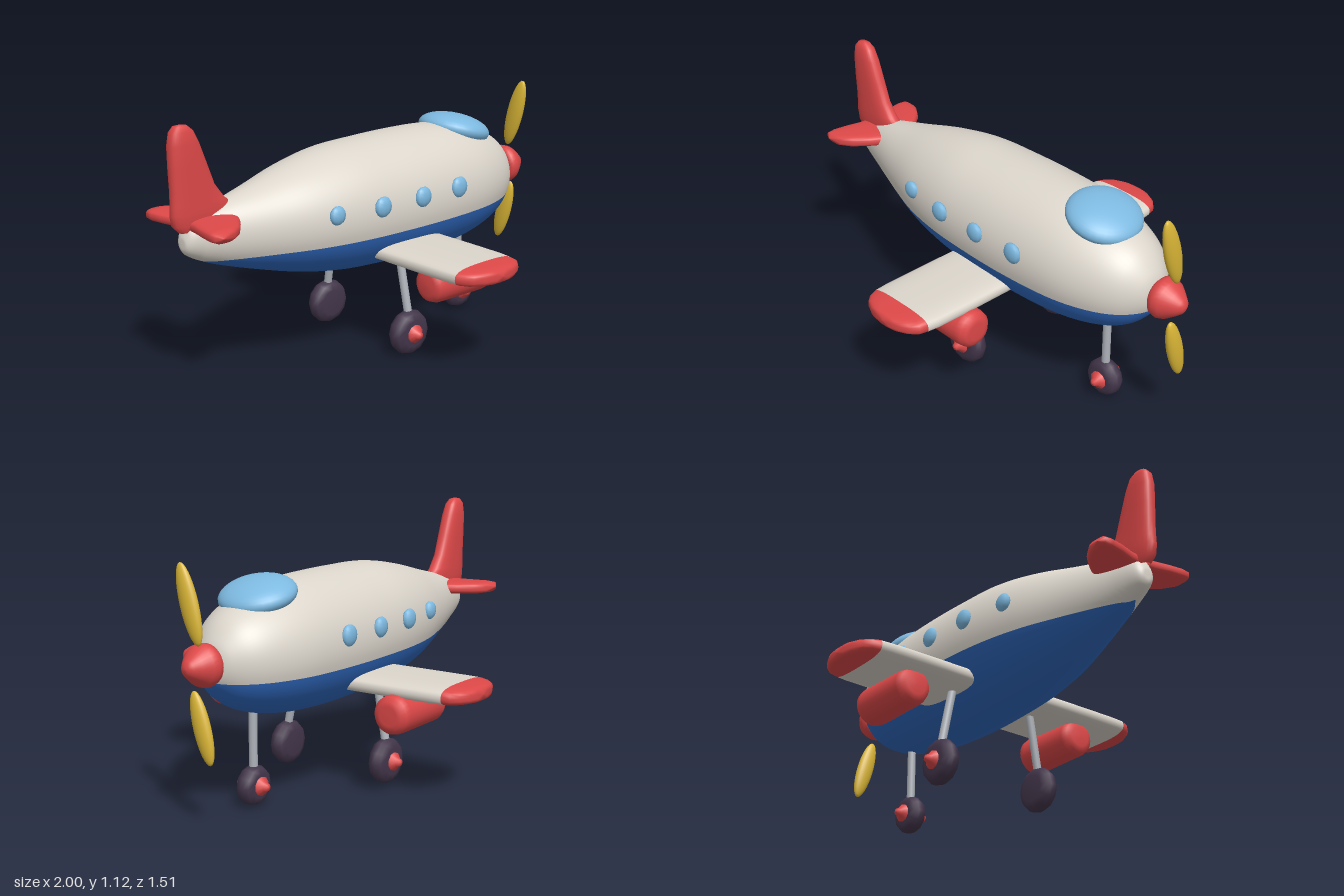
import * as THREE from 'three';

const material = (name, color) => Object.assign(new THREE.MeshStandardMaterial({ color }), { name });

// Skin a list of point rings; faces are turned to point away from the middle
function loft(rings, closed = true) {
  const n = rings[0].length, pos = [], idx = [];
  rings.forEach(r => r.forEach(p => pos.push(...p)));
  for (let i = 0; i < rings.length - 1; i++) {
    for (let j = 0; j < (closed ? n : n - 1); j++) {
      const a = i * n + j, b = i * n + (j + 1) % n;
      idx.push(a, b, a + n, b, b + n, a + n);
    }
  }
  const pts = rings.flat().map(p => new THREE.Vector3(...p));
  const mid = pts.reduce((s, p) => s.add(p), new THREE.Vector3()).divideScalar(pts.length);
  pts.forEach(p => p.sub(mid));
  let volume = 0;
  for (let k = 0; k < idx.length; k += 3) {
    volume += pts[idx[k]].dot(pts[idx[k + 1]].clone().cross(pts[idx[k + 2]]));
  }
  if (volume < 0) idx.reverse();
  const g = new THREE.BufferGeometry();
  g.setAttribute('position', new THREE.Float32BufferAttribute(pos, 3));
  g.setIndex(idx);
  g.computeVertexNormals();
  return g;
}

// Rounded-box outline as [a, b] pairs
function outline(ha, hb, power = 3, n = 32) {
  return Array.from({ length: n }, (_, i) => {
    const t = i / n * Math.PI * 2, c = Math.cos(t), s = Math.sin(t), e = 2 / power;
    return [ha * Math.sign(c) * Math.abs(c) ** e, hb * Math.sign(s) * Math.abs(s) ** e];
  });
}

// Flat surface along z: stations are [z, xMin, xMax, half thickness]
const panel = (stations, y, side) => loft(stations.map(([z, x0, x1, h]) =>
  outline((x1 - x0) / 2, h).map(([a, b]) => [(x0 + x1) / 2 + a, y + b, z * side])));

const lathe = (pts, segments = 28) =>
  new THREE.LatheGeometry(pts.map(p => new THREE.Vector2(...p)), segments);

export function createModel() {
  const model = new THREE.Group();
  const cream = material('cream paint', 0xdcd6cc);
  const blue = material('blue paint', 0x2f68bd);
  const red = material('red paint', 0xdd4848);
  const glass = material('sky blue glass', 0x7db9e0);
  const yellow = material('yellow paint', 0xd9b536);
  const metal = material('grey metal', 0xaeb3ba);
  const rubber = material('dark rubber', 0x43364b);

  const add = (name, geometry, mat, x = 0, y = 0, z = 0) => {
    const m = new THREE.Mesh(geometry, mat);
    m.name = name;
    m.position.set(x, y, z);
    model.add(m);
    return m;
  };
  const ellipsoid = (name, mat, c, r, w = 24, h = 16) =>
    add(name, new THREE.SphereGeometry(1, w, h).scale(...r), mat, ...c);

  // Fuselage stations: x, bottom, top, half width
  const body = [
    [-0.95, 0.645, 0.645, 0], [-0.945, 0.61, 0.68, 0.03], [-0.91, 0.58, 0.73, 0.055],
    [-0.8, 0.53, 0.77, 0.09], [-0.6, 0.465, 0.82, 0.16], [-0.4, 0.41, 0.872, 0.225],
    [-0.2, 0.373, 0.907, 0.262], [0, 0.357, 0.914, 0.276], [0.2, 0.35, 0.915, 0.28],
    [0.4, 0.358, 0.908, 0.272], [0.55, 0.378, 0.885, 0.252], [0.68, 0.413, 0.845, 0.21],
    [0.77, 0.463, 0.795, 0.157], [0.83, 0.53, 0.725, 0.09], [0.852, 0.585, 0.67, 0.04],
    [0.857, 0.627, 0.627, 0],
  ];
  const spine = new THREE.CatmullRomCurve3(
    body.map(([x, lo, hi]) => new THREE.Vector3(x, (lo + hi) / 2, (hi - lo) / 2)), false, 'catmullrom');
  const girth = new THREE.CatmullRomCurve3(
    body.map(([x, , , w]) => new THREE.Vector3(x, w, 0)), false, 'catmullrom');

  // Each section is divided at the paint line into an upper and a lower arc
  const paintLine = 0.555;
  const shell = upper => loft(Array.from({ length: 76 }, (_, i) => {
    const s = spine.getPoint(i / 75), w = Math.max(0, girth.getPoint(i / 75).y), h = Math.max(0, s.z);
    const split = Math.asin(THREE.MathUtils.clamp((paintLine - s.y) / Math.max(h, 1e-5), -1, 1));
    const from = upper ? split : -Math.PI - split, to = upper ? Math.PI - split : split;
    return Array.from({ length: 37 }, (_, j) => {
      const t = from + (to - from) * j / 36;
      return [s.x, s.y + h * Math.sin(t), w * Math.cos(t)];
    });
  }), false);
  add('upperFuselage', shell(true), cream);
  add('lowerFuselage', shell(false), blue);

  // Cockpit canopy
  ellipsoid('canopy', glass, [0.56, 0.862, 0], [0.158, 0.068, 0.163], 32, 20).rotation.z = -0.27;

  // Spinner and propeller
  add('spinner', lathe([[0, 0], [0.07, 0], [0.084, 0.012], [0.088, 0.035], [0.08, 0.06],
    [0.055, 0.095], [0.032, 0.124], [0.015, 0.134], [0, 0.136]]).rotateZ(-Math.PI / 2),
  red, 0.864, 0.635, 0);
  ellipsoid('upperBlade', yellow, [0.94, 0.875, 0.027], [0.026, 0.163, 0.042]).rotation.x = 0.27;
  ellipsoid('lowerBlade', yellow, [0.94, 0.4, -0.026], [0.026, 0.148, 0.04]).rotation.x = -2.9;
  model.children.at(-1).rotation.x = 0.27;

  // Tail fin, stations: y, xMin, xMax, half thickness
  add('tailFin', loft([
    [0.69, -0.96, -0.74, 0.03], [0.72, -0.99, -0.71, 0.04], [0.765, -0.997, -0.7, 0.042],
    [0.8, -0.994, -0.745, 0.042], [0.86, -0.993, -0.79, 0.04], [0.95, -0.996, -0.825, 0.04],
    [1.04, -0.997, -0.86, 0.038], [1.09, -0.988, -0.885, 0.032], [1.112, -0.97, -0.91, 0.02],
    [1.118, -0.94, -0.94, 0],
  ].map(([y, x0, x1, h]) =>
    outline((x1 - x0) / 2, h, 2.5).map(([a, b]) => [(x0 + x1) / 2 + a, y, b]))), red);

  for (const side of [1, -1]) {
    const tag = side > 0 ? 'left' : 'right';

    // Wing with coloured tip
    add(tag + 'Wing', panel([[0.1, -0.112, 0.247, 0.04], [0.45, -0.112, 0.247, 0.04],
      [0.6, -0.11, 0.244, 0.04], [0.655, -0.105, 0.236, 0.04]], 0.464, side), cream);
    add(tag + 'WingTip', panel([[0.655, -0.105, 0.236, 0.04], [0.69, -0.092, 0.228, 0.037],
      [0.72, -0.065, 0.2, 0.033], [0.742, -0.02, 0.155, 0.028], [0.752, 0.03, 0.11, 0.02],
      [0.755, 0.07, 0.07, 0]], 0.464, side), red);

    // Tailplane
    add(tag + 'Tailplane', panel([[0, -0.93, -0.705, 0.03], [0.06, -0.935, -0.715, 0.03],
      [0.13, -0.952, -0.76, 0.028], [0.19, -0.96, -0.81, 0.027], [0.225, -0.957, -0.86, 0.022],
      [0.24, -0.925, -0.925, 0]], 0.715, side), red);

    // Engine pod under the wing
    add(tag + 'Engine', lathe([[0, -0.17], [0.045, -0.169], [0.07, -0.158], [0.08, -0.13],
      [0.083, 0.12], [0.078, 0.15], [0.06, 0.167], [0.04, 0.17], [0, 0.17]])
      .rotateZ(-Math.PI / 2), red, 0.12, 0.372, 0.443 * side);

    // Cabin windows
    [[-0.35, 0.236, 0.04], [-0.13, 0.27, 0.044], [0.095, 0.276, 0.044], [0.315, 0.272, 0.046]]
      .forEach(([x, z, r], i) => ellipsoid(`${tag}Window${i + 1}`, glass,
        [x, 0.688, z * side], [r, r, 0.022], 10, 8));
  }

  // Wheels, hubs and struts
  const wheel = (name, x, y, z, r, hubSides, top) => {
    add(name + 'Wheel', lathe([[0, -0.04], [r * 0.6, -0.04], [r * 0.88, -0.03], [r, -0.01],
      [r, 0.01], [r * 0.88, 0.03], [r * 0.6, 0.04], [0, 0.04]], 12).rotateX(Math.PI / 2),
    rubber, x, y, z);
    for (const s of hubSides) {
      add(name + 'Hub', lathe([[0.04, 0.03], [0.04, 0.046], [0.02, 0.062], [0.014, 0.076], [0, 0.08]], 10)
        .rotateX(s * Math.PI / 2), red, x, y, z);
    }
    const a = new THREE.Vector3(x, y + r * 0.7, z), b = new THREE.Vector3(...top);
    add(name + 'Strut', new THREE.TubeGeometry(new THREE.LineCurve3(a, b), 1, 0.018, 12), metal);
  };
  wheel('nose', 0.6, 0.088, 0, 0.083, [1, -1], [0.6, 0.42, 0]);
  wheel('leftMain', 0.027, 0.1, 0.263, 0.098, [1], [0.02, 0.46, 0.205]);
  wheel('rightMain', 0.027, 0.1, -0.26, 0.098, [-1], [0.02, 0.46, -0.205]);

  return model;
}
